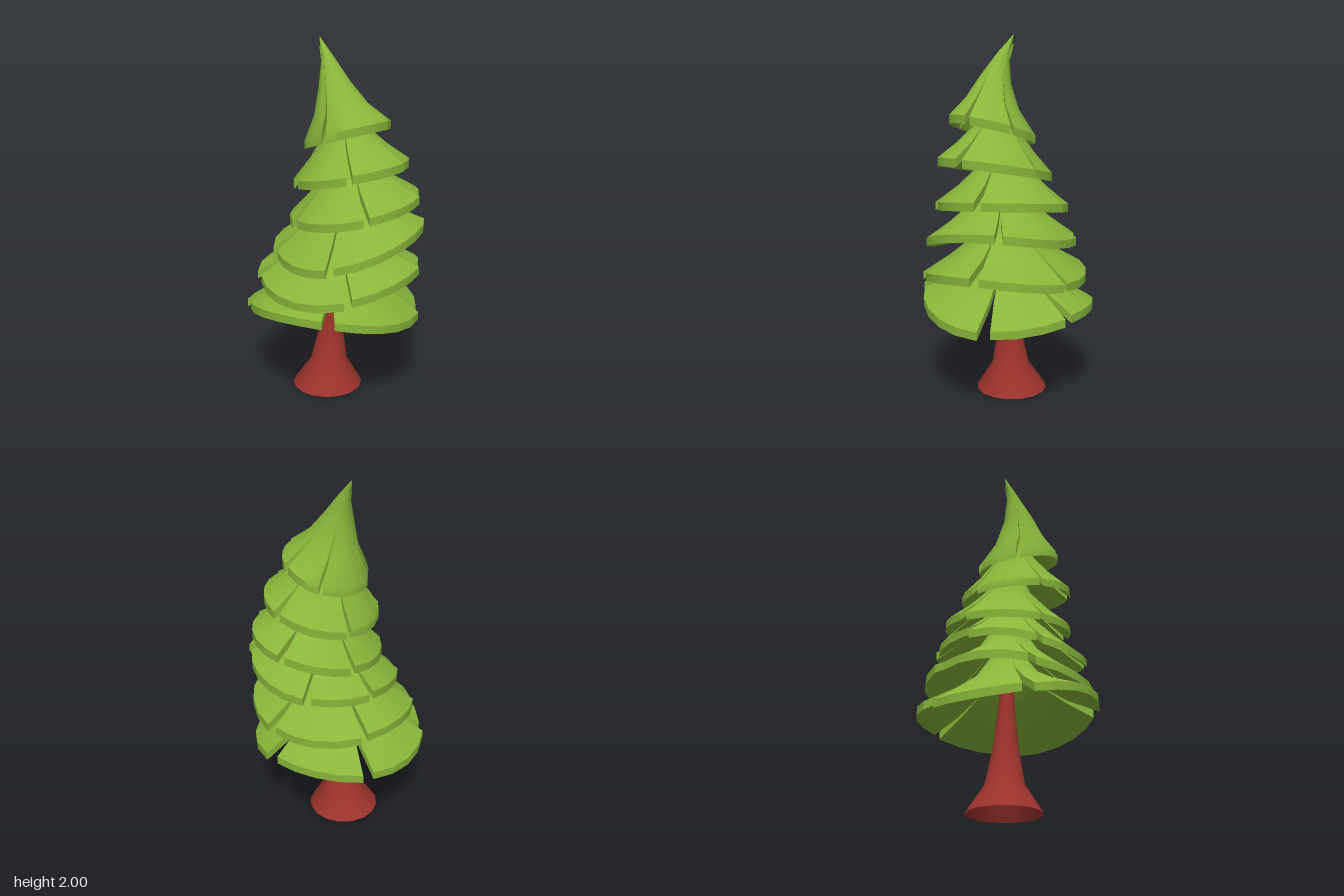
import * as THREE from 'three';
import { toCreasedNormals } from 'three/addons/utils/BufferGeometryUtils.js';

// Profiles from tip to rim: [height fraction, radius fraction, notch opening]
const SKIRT = [[1, 0.01, 0], [0.97, 0.15, 0], [0.8, 0.22, 0], [0.5, 0.38, 0.1], [0.24, 0.67, 0.5], [0, 1, 1]];
const CROWN = [[1, 0.01, 0], [0.8, 0.13, 0], [0.5, 0.37, 0.2], [0.24, 0.62, 0.5], [0, 1, 1]];
const LIP = 0.045;

// One tier of foliage: a bent, tilted cone shell split into flaps by notches
function tierGeometry({ rim, r, tilt, saddle, tip, cuts, gap, rows = SKIRT, bend = 0 }) {
  const pos = [];
  const quad = (a, b, c, d) => [a, b, c, a, c, d].forEach(p => pos.push(...p));
  const flip = (a, b, c, d) => quad(d, c, b, a);
  const last = rows.length - 1;
  const base = rim[1] + LIP;

  cuts.forEach((start, s) => {
    const end = s + 1 < cuts.length ? cuts[s + 1] : cuts[0] + Math.PI * 2;
    const n = Math.max(3, Math.round((end - start) / 0.3));
    const point = (row, j, drop) => {
      const [h, rf, open] = rows[row];
      const k = j / n;
      const g = gap * open;
      const a = start + g + (end - start - 2 * g) * k;
      // each flap tucks in slightly towards its end
      const rad = r * rf * (1 - open * 0.04 * (k - 0.5));
      const lean = Math.pow(1 - h, 0.7);
      const dx = Math.cos(a) * rad, dz = Math.sin(a) * rad;
      return [
        tip[0] + (rim[0] - tip[0]) * lean + dx,
        base + (tip[1] - base) * h + tilt[0] * dx + tilt[1] * dz + saddle * (dz * dz - dx * dx) / r - drop,
        tip[2] + (rim[2] - tip[2]) * lean + bend * Math.sin(Math.PI * h) + dz,
      ];
    };
    const top = (i, j) => point(i, j, 0);
    const low = (i, j) => point(i, j, LIP);
    for (let i = 0; i < last; i++) {
      for (let j = 0; j < n; j++) {
        quad(top(i, j), top(i, j + 1), top(i + 1, j + 1), top(i + 1, j));
        flip(low(i, j), low(i, j + 1), low(i + 1, j + 1), low(i + 1, j));
      }
      // notch walls
      if (rows[i + 1][2] > 0) {
        quad(top(i, 0), top(i + 1, 0), low(i + 1, 0), low(i, 0));
        flip(top(i, n), top(i + 1, n), low(i + 1, n), low(i, n));
      }
    }
    // thick outer lip
    for (let j = 0; j < n; j++) {
      quad(top(last, j), top(last, j + 1), low(last, j + 1), low(last, j));
    }
  });

  const geo = new THREE.BufferGeometry();
  geo.setAttribute('position', new THREE.Float32BufferAttribute(pos, 3));
  return toCreasedNormals(geo, 0.65);
}

// Flared trunk, leaning slightly as it rises
function trunkGeometry() {
  const profile = [[0.2, 0], [0.105, 0.15], [0.067, 0.36], [0.045, 0.57], [0.03, 0.8]];
  const geo = new THREE.LatheGeometry(profile.map(([x, y]) => new THREE.Vector2(x, y)), 16);
  const p = geo.attributes.position;
  for (let i = 0; i < p.count; i++) {
    p.setX(i, p.getX(i) - 0.056 + 0.07 * p.getY(i));
  }
  return toCreasedNormals(geo, 0.9);
}

export function createModel() {
  const tree = new THREE.Group();
  tree.name = 'pineTree';

  const needles = new THREE.MeshStandardMaterial({ color: 0x88b53a });
  needles.name = 'needleGreen';
  const bark = new THREE.MeshStandardMaterial({ color: 0x9d342c, side: THREE.DoubleSide });
  bark.name = 'redBark';

  const trunk = new THREE.Mesh(trunkGeometry(), bark);
  trunk.name = 'trunk';
  tree.add(trunk);

  // rim: centre of the lower edge, tilt: rim slope along x and z,
  // saddle: lift of front and back over the sides, cuts: notch angles
  const tiers = [
    { rim: [-0.015, 0.5, 0.005], r: 0.48, tilt: [0, 0.06], saddle: 0.08, tip: [0, 0.93, 0],
      cuts: [-2.45, -1.25, -0.25, 1.2, 2.65], gap: 0.07 },
    { rim: [0.02, 0.685, 0], r: 0.45, tilt: [0.05, -0.045], saddle: -0.07, tip: [0.02, 1.11, 0],
      cuts: [-2.5, -1.3, -0.15, 1.05, 2.6], gap: 0.05 },
    { rim: [0.075, 0.89, 0], r: 0.41, tilt: [0.13, -0.11], saddle: -0.07, tip: [0.04, 1.31, 0],
      cuts: [-1.9, -0.5, 1.4, 2.5, 3.5], gap: 0.05 },
    { rim: [0.1, 1.07, -0.03], r: 0.355, tilt: [0.17, -0.08], saddle: 0, tip: [0.04, 1.5, 0],
      cuts: [-1.57, -0.15, 1, 2.3, 3.6], gap: 0.05 },
    { rim: [0.1, 1.27, 0.02], r: 0.31, tilt: [0.22, 0.03], saddle: 0, tip: [0.01, 1.72, 0.03],
      cuts: [-2.6, -1.27, 0.1, 1.2, 2.4], gap: 0.05 },
    { rim: [0.085, 1.48, 0.045], r: 0.23, tilt: [0.3, 0.1], saddle: 0, tip: [-0.09, 2, 0.01],
      cuts: [-2, -1, 0.05, 1.7, 2.9], gap: 0.05, rows: CROWN, bend: 0.03 },
  ];
  tiers.forEach((spec, i) => {
    const tier = new THREE.Mesh(tierGeometry(spec), needles);
    tier.name = i === tiers.length - 1 ? 'treeTop' : `foliageTier${i + 1}`;
    tree.add(tier);
  });

  return tree;
}
